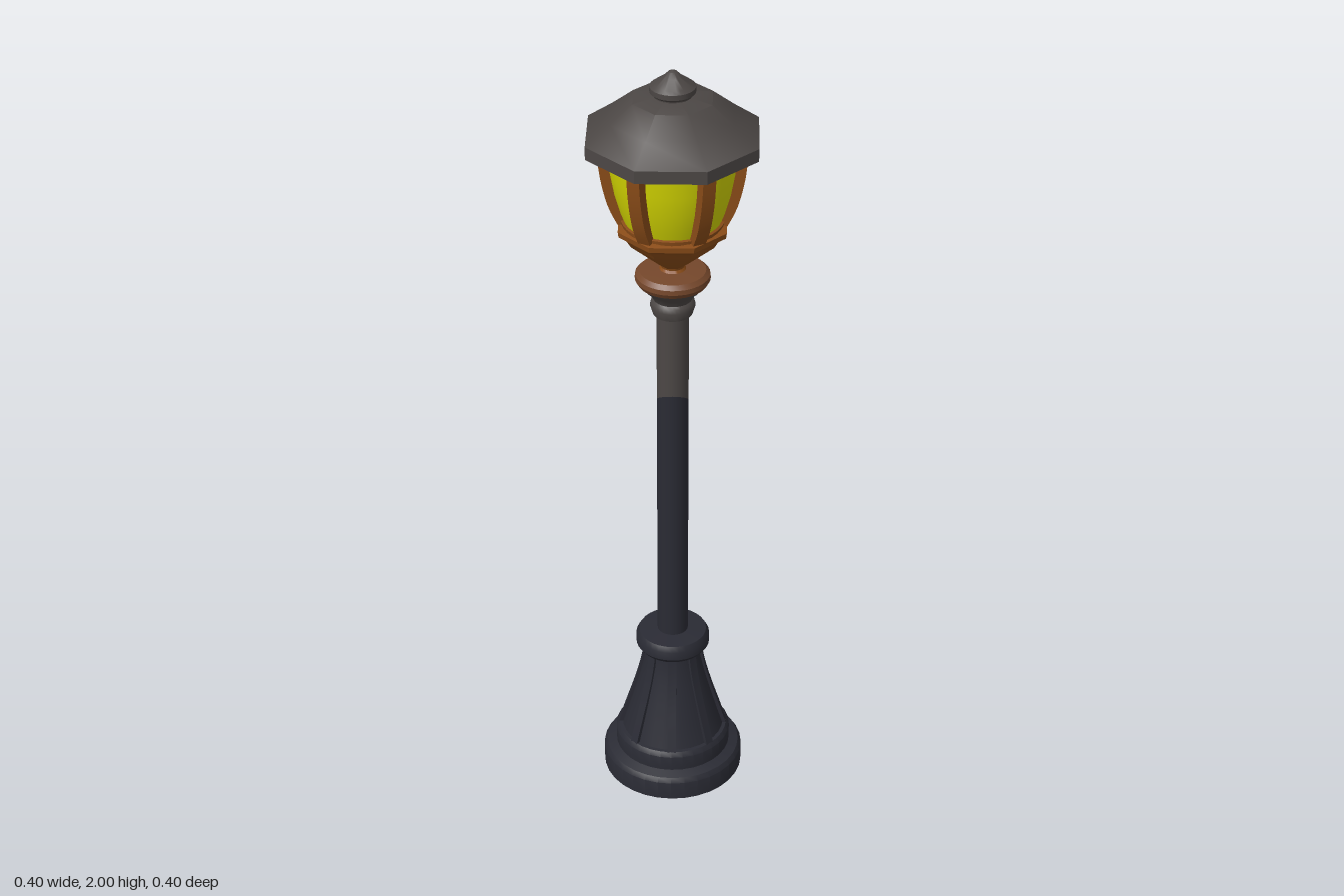
import * as THREE from 'three';
import { toCreasedNormals } from 'three/addons/utils/BufferGeometryUtils.js';

const material = (name, color) => new THREE.MeshStandardMaterial({ name, color });

export function createModel() {
  const group = new THREE.Group();
  const darkIron = material('dark iron', 0x2a2b34);
  const greyIron = material('grey iron', 0x4c4745);
  const bronze = material('bronze', 0x8a4c18);
  const dullBronze = material('dull bronze', 0x75472b);
  const glassYellow = material('yellow glass', 0xd2d400);

  const add = (name, geometry, mat, parent = group) => {
    const mesh = new THREE.Mesh(geometry, mat);
    mesh.name = name;
    parent.add(mesh);
    return mesh;
  };

  // Turned part from [radius, y] pairs, listed bottom to top
  const turned = (name, profile, mat, sides = 32) => {
    const k = sides === 8 ? 1 / Math.cos(Math.PI / 8) : 1; // octagons are sized across flats
    const points = profile.map(([r, y]) => new THREE.Vector2(r * k, y));
    const lathe = new THREE.LatheGeometry(points, sides, sides === 8 ? Math.PI / 8 : 0);
    return add(name, toCreasedNormals(lathe, 0.6), mat);
  };

  // Ring of curved bars that follow a [radius, y] profile
  const barRing = (name, profile, count, width, depth, mat) => {
    const ring = new THREE.Group();
    ring.name = name + 's';
    const curve = new THREE.SplineCurve(profile.map(([r, y]) => new THREE.Vector2(r, y)));
    const outer = curve.getPoints(10);
    const inner = outer.map((p) => new THREE.Vector2(p.x - depth, p.y)).reverse();
    const geometry = new THREE.ExtrudeGeometry(new THREE.Shape([...outer, ...inner]), {
      depth: width, bevelEnabled: false,
    });
    geometry.translate(0, 0, -width / 2);
    const smooth = toCreasedNormals(geometry, 0.6);
    for (let i = 0; i < count; i++) {
      add(name, smooth, mat, ring).rotation.y = (i / count) * Math.PI * 2;
    }
    group.add(ring);
  };

  // Stepped foot, bell and upper ring
  turned('plinth', [[0, 0], [0.18, 0], [0.18, 0.05], [0.172, 0.062], [0.148, 0.07], [0.148, 0.075],
    [0.148, 0.11], [0.14, 0.122], [0.12, 0.124]], darkIron);
  turned('bell', [[0.132, 0.12], [0.117, 0.17], [0.1, 0.23], [0.084, 0.29], [0.073, 0.34], [0.069, 0.38]], darkIron);
  barRing('bellRib', [[0.141, 0.118], [0.122, 0.18], [0.1, 0.25], [0.082, 0.32], [0.073, 0.378]], 8, 0.022, 0.025, darkIron);
  turned('baseRing', [[0.06, 0.37], [0.085, 0.373], [0.094, 0.385], [0.094, 0.408], [0.086, 0.422], [0.038, 0.426]], darkIron);

  // Two-tone shaft with a slanting colour change
  const shaft = (name, low, high, slantedEnd, mat) => {
    const geometry = new THREE.CylinderGeometry(0.039, 0.039, high - low, 24, 1, true);
    geometry.translate(0, (low + high) / 2, 0);
    const p = geometry.attributes.position;
    for (let i = 0; i < p.count; i++) {
      if (Math.abs(p.getY(i) - slantedEnd) < 0.01) p.setY(i, slantedEnd + 0.8 * p.getZ(i));
    }
    add(name, geometry, mat);
  };
  shaft('lowerShaft', 0.41, 1.115, 1.115, darkIron);
  shaft('upperShaft', 1.115, 1.38, 1.115, greyIron);

  // Capital and its cap
  turned('capital', [[0.037, 1.358], [0.048, 1.362], [0.055, 1.385], [0.052, 1.396], [0.047, 1.402],
    [0.055, 1.418], [0.07, 1.432], [0.08, 1.446]], greyIron);
  turned('capitalCap', [[0.07, 1.44], [0.084, 1.446], [0.091, 1.458], [0.09, 1.47], [0.08, 1.48], [0.03, 1.484], [0, 1.484]], dullBronze);

  // Lantern seat
  turned('lanternStem', [[0.036, 1.478], [0.028, 1.49], [0.032, 1.505]], bronze);
  turned('lanternCup', [[0.02, 1.49], [0.034, 1.5], [0.098, 1.56], [0.108, 1.578], [0.126, 1.592],
    [0.128, 1.606], [0.115, 1.61], [0, 1.61]], bronze, 8);

  // Bulging glass held by six curved bars
  turned('glass', [[0.11, 1.603], [0.124, 1.64], [0.138, 1.69], [0.148, 1.745], [0.153, 1.82]], glassYellow, 36);
  turned('glassLowerRim', [[0.115, 1.6], [0.121, 1.606], [0.123, 1.618], [0.113, 1.621]], bronze, 36);
  barRing('lanternBar', [[0.126, 1.6], [0.15, 1.65], [0.166, 1.71], [0.174, 1.765], [0.178, 1.825]], 6, 0.034, 0.03, bronze);

  // Octagonal roof and finial
  turned('roof', [[0, 1.812], [0.2, 1.81], [0.2, 1.842], [0.142, 1.887], [0.092, 1.93], [0.04, 1.938], [0, 1.938]], greyIron, 8);
  turned('finial', [[0.045, 1.93], [0.046, 1.94], [0.054, 1.947], [0.054, 1.96], [0.045, 1.967],
    [0.022, 1.984], [0.01, 1.996], [0, 2]], greyIron);

  return group;
}
